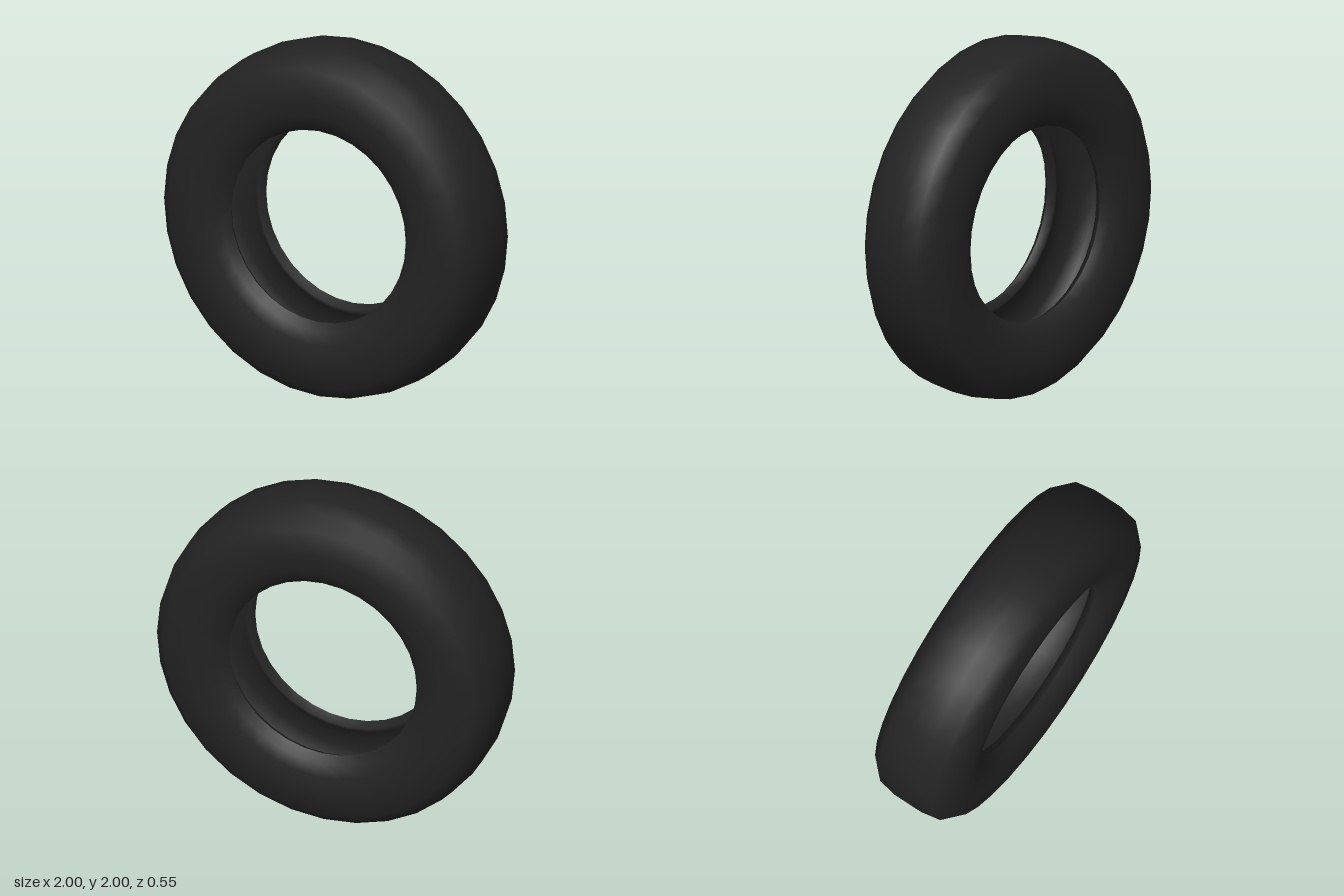
import * as THREE from 'three';

const SEGMENTS = 32;

// Half cross-sections as [radius, distance from the middle plane], middle to bead
const OUTER = [[1, 0], [1, 0.07], [0.98, 0.18], [0.91, 0.25], [0.77, 0.275], [0.66, 0.262], [0.59, 0.235], [0.55, 0.19]];
const INNER = [[0.94, 0], [0.935, 0.07], [0.91, 0.15], [0.85, 0.2], [0.76, 0.22], [0.67, 0.205], [0.61, 0.17], [0.575, 0.145], [0.55, 0.19]];

// Mirror a half section across the middle plane, bottom to top
function mirrored(half) {
  const upper = half.map(([r, d]) => new THREE.Vector2(r, d));
  const lower = half.slice(1).reverse().map(([r, d]) => new THREE.Vector2(r, -d));
  return [...lower, ...upper];
}

function ring(name, points, material) {
  const mesh = new THREE.Mesh(new THREE.LatheGeometry(points, SEGMENTS), material);
  mesh.name = name;
  mesh.rotation.x = Math.PI / 2;
  mesh.position.y = 1;
  return mesh;
}

export function createModel() {
  const rubber = new THREE.MeshStandardMaterial({ color: 0x222222 });
  rubber.name = 'black rubber';

  const tyre = new THREE.Group();
  tyre.name = 'tyre';
  // Tread and both sidewalls
  tyre.add(ring('treadAndSidewalls', mirrored(OUTER), rubber));
  // Hollow inside, meeting the sidewalls at the bead; reversed to face the axle
  tyre.add(ring('innerLiner', mirrored(INNER).reverse(), rubber));
  return tyre;
}
